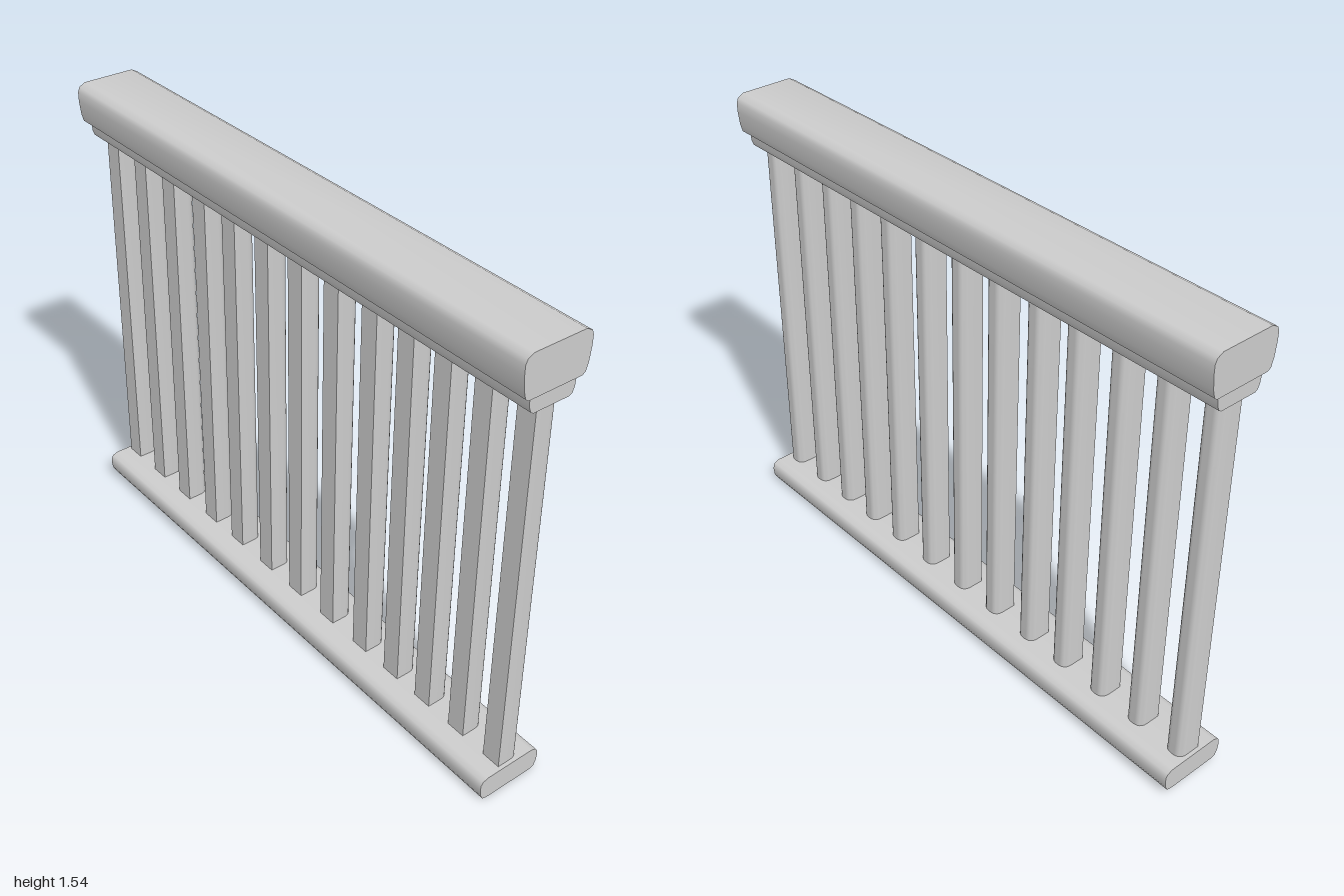
import * as THREE from 'three';
import { toCreasedNormals } from 'three/addons/utils/BufferGeometryUtils.js';

const material = new THREE.MeshStandardMaterial({ color: 0xcccccc, side: THREE.DoubleSide });

// Slight fall of the rails towards +x
const SLOPE = -0.009;

// Extrudes a mirrored cross-section, given as [half depth, height] from bottom to top, along x
function rail(name, half, length) {
  const pts = [...half, ...half.slice().reverse().map(([z, y]) => [-z, y])];
  const shape = new THREE.Shape(pts.map(([z, y]) => new THREE.Vector2(z, y)));
  const geo = new THREE.ExtrudeGeometry(shape, { depth: length, bevelEnabled: false });
  geo.translate(0, 0, -length / 2);
  geo.rotateY(Math.PI / 2);
  const p = geo.attributes.position;
  for (let i = 0; i < p.count; i++) p.setY(i, p.getY(i) + SLOPE * p.getX(i));
  const mesh = new THREE.Mesh(toCreasedNormals(geo, 0.7), material);
  mesh.name = name;
  return mesh;
}

// Upright with a flat front, square front corners and a rounded back
function balusterGeometry() {
  const w = 0.032, front = 0.034, back = -0.044;
  const s = new THREE.Shape();
  s.moveTo(-w, -front);
  s.lineTo(w, -front);
  s.lineTo(w, -back - 0.03);
  s.bezierCurveTo(w, -back - 0.008, w * 0.6, -back, 0, -back);
  s.bezierCurveTo(-w * 0.6, -back, -w, -back - 0.008, -w, -back - 0.03);
  s.closePath();
  const geo = new THREE.ExtrudeGeometry(s, { depth: 1.39, bevelEnabled: false, curveSegments: 6 });
  geo.rotateX(-Math.PI / 2); // shape y becomes -z, depth becomes height
  return toCreasedNormals(geo, 0.7);
}

export function createModel() {
  const model = new THREE.Group();
  model.name = 'railing';

  // Handrail with rounded shoulders
  model.add(rail('handrail', [
    [0.092, 1.402], [0.102, 1.41], [0.109, 1.435], [0.114, 1.48],
    [0.114, 1.51], [0.108, 1.525], [0.088, 1.536],
  ], 2));

  // Narrow rail under the handrail
  model.add(rail('underRail', [
    [0.062, 1.35], [0.071, 1.356], [0.077, 1.372], [0.08, 1.402],
  ], 1.985));

  // Bottom rail
  model.add(rail('bottomRail', [
    [0.085, 0.018], [0.102, 0.022], [0.111, 0.04], [0.114, 0.065],
    [0.112, 0.08], [0.106, 0.09], [0.088, 0.097],
  ], 1.98));

  // Balusters
  const xs = [-0.945, -0.785, -0.625, -0.46, -0.305, -0.14, 0.02, 0.185, 0.35, 0.5, 0.645, 0.795, 0.945];
  const geo = balusterGeometry();
  const balusters = new THREE.Group();
  balusters.name = 'balusters';
  for (const x of xs) {
    const b = new THREE.Mesh(geo, material);
    b.name = 'baluster';
    b.position.set(x, 0.01 + SLOPE * (x - 0.945), 0);
    balusters.add(b);
  }
  model.add(balusters);

  return model;
}
